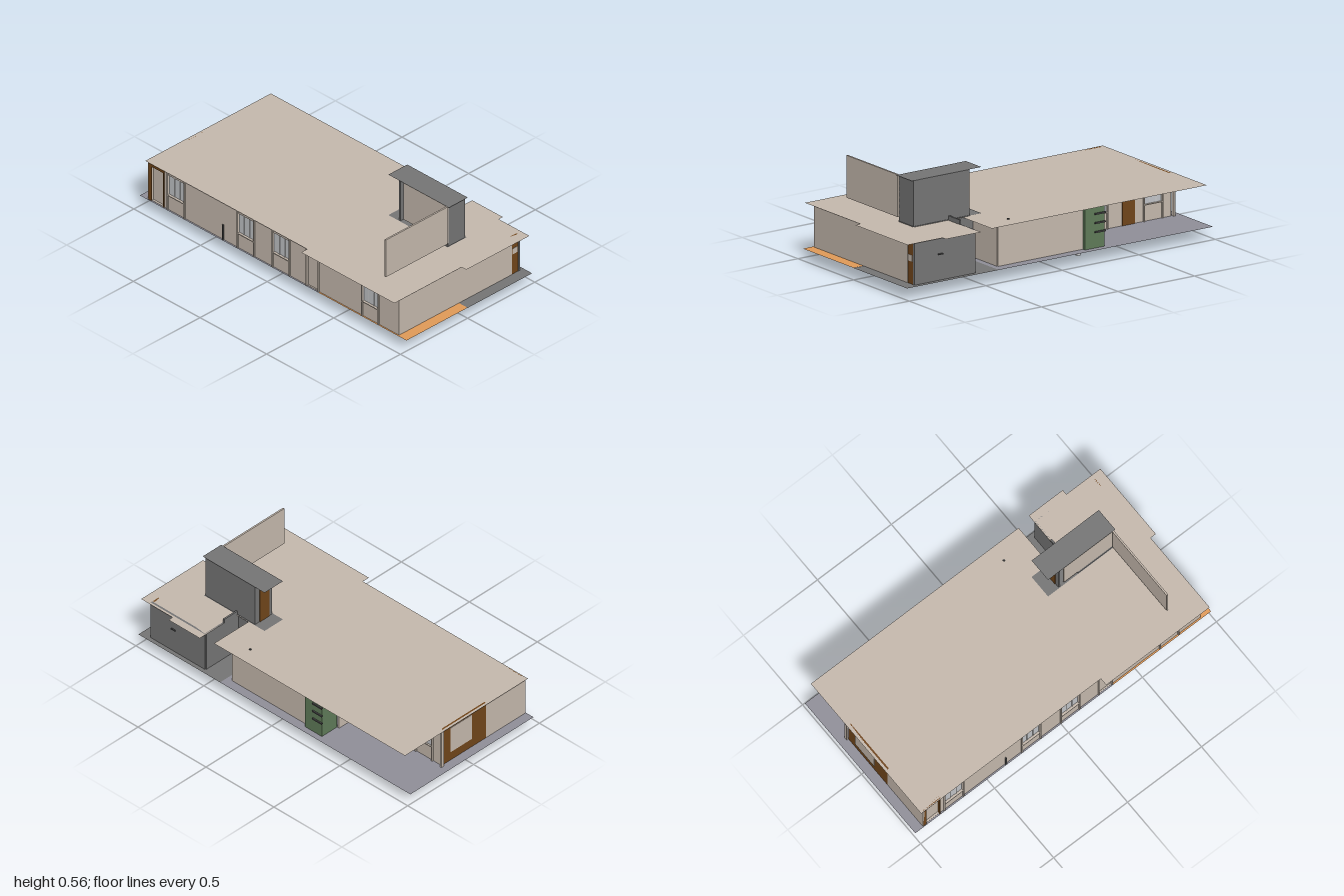
import * as THREE from 'three';

const Y0 = 0.066, Y1 = 0.3; // floor level, eaves level
const mat = (color) => new THREE.MeshStandardMaterial({ color, flatShading: true, side: THREE.DoubleSide });
const M = {
  beige: mat(0xc4b8ac), grey: mat(0x747474), dark: mat(0x4a4a4a), brown: mat(0x70451a), orange: mat(0xe09a58),
  floor: mat(0x8f8e98), glass: mat(0xc0c2c6), green: mat(0x5f7a58), blue: mat(0x3a3aa0), black: mat(0x161616), light: mat(0xcccccc),
};

export function createModel() {
  const model = new THREE.Group();

  const add = (name, geo, material) => {
    const mesh = new THREE.Mesh(geo, material);
    mesh.name = name;
    model.add(mesh);
    return mesh;
  };
  // Box given by its limits on each axis
  const box = (name, m, x0, x1, y0, y1, z0, z1) => {
    const mesh = add(name, new THREE.BoxGeometry(x1 - x0, y1 - y0, z1 - z0), m);
    mesh.position.set((x0 + x1) / 2, (y0 + y1) / 2, (z0 + z1) / 2);
    return mesh;
  };
  // Flat sheet from a plan outline of [x, z] points
  const sheet = (name, m, y, pts) => {
    const shape = new THREE.Shape(pts.map(([x, z]) => new THREE.Vector2(x, -z)));
    const mesh = add(name, new THREE.ShapeGeometry(shape).rotateX(-Math.PI / 2), m);
    mesh.position.y = y;
    return mesh;
  };
  const rect = (x0, x1, z0, z1) => [[x0, z1], [x1, z1], [x1, z0], [x0, z0]];
  // Wall along x with rectangular openings [x0, x1, y0, y1]
  const wallX = (name, m, x0, x1, z, openings = [], t = 0.012) => {
    const path = (P, a, b, c, d) => {
      const p = new P();
      p.moveTo(a, c); p.lineTo(b, c); p.lineTo(b, d); p.lineTo(a, d); p.closePath();
      return p;
    };
    const shape = path(THREE.Shape, x0, x1, Y0, Y1);
    openings.forEach(([a, b, c, d]) => shape.holes.push(path(THREE.Path, a, b, c, d)));
    const mesh = add(name, new THREE.ExtrudeGeometry(shape, { depth: t, bevelEnabled: false }), m);
    mesh.position.z = z - t / 2;
  };
  const wallZ = (name, m, x, z0, z1, y0 = Y0, y1 = Y1) => box(name, m, x - 0.005, x + 0.005, y0, y1, z0, z1);

  // Floors
  sheet('floor', M.floor, Y0 - 0.001, [
    [-1, 0.455], [0.34, 0.455], [0.34, -0.02], [0.4, -0.02], [0.4, -0.48], [-1, -0.48]]);
  sheet('rearFloor', M.grey, Y0 - 0.001, rect(0.4, 1, -0.48, 0));
  sheet('terraceFloor', M.orange, Y0, rect(0.34, 1, 0, 0.455));

  // Roof with front and rear projections and a slot over the stair
  sheet('roof', M.beige, Y1, [
    [-0.96, 0.455], [0.255, 0.455], [0.255, 0.5], [0.955, 0.5], [0.955, 0], [0.99, 0], [0.99, -0.47],
    [0.76, -0.47], [0.76, -0.5], [0.53, -0.5], [0.53, -0.22], [0.445, -0.22], [0.445, -0.48], [-0.96, -0.48]]);
  box('roofVent', M.dark, 0.265, 0.275, Y1, Y1 + 0.005, -0.39, -0.38);

  // Front wall with windows and doors
  const windows = [[-0.8, -0.67], [-0.275, -0.15], [-0.01, 0.115], [0.66, 0.785]];
  wallX('frontWall', M.beige, -0.94, 0.935, 0.44, [
    ...windows.map(([a, b]) => [a, b, 0.16, 0.28]), [-0.92, -0.825, Y0 + 0.002, 0.28], [0.245, 0.335, Y0 + 0.002, 0.28]]);
  const windowUnit = (a, b, z, out) => {
    const c = (a + b) / 2;
    box('windowPane', M.glass, a, b, 0.16, 0.28, z - 0.002, z + 0.002);
    [a + 0.003, c - 0.02, c + 0.02, b - 0.003].forEach((x) =>
      box('windowMullion', M.light, x - 0.002, x + 0.002, 0.16, 0.28, z - 0.005, z + 0.005));
    [a, b].forEach((x) => box('windowPost', M.beige, x - 0.004, x + 0.004, Y0, Y1, z, z + out));
    box('windowSill', M.beige, a, b, 0.155, 0.16, z, z + out);
  };
  windows.forEach(([a, b]) => windowUnit(a, b, 0.437, 0.016));
  box('frontDoor', M.beige, -0.92, -0.825, Y0, 0.28, 0.43, 0.434);
  box('frontDoorHead', M.brown, -0.94, -0.825, 0.28, Y1, 0.436, 0.45);
  box('frontDoorJamb', M.brown, -0.94, -0.92, Y0, 0.28, 0.436, 0.45);
  box('frontDoorJamb', M.brown, -0.832, -0.825, Y0, 0.28, 0.436, 0.45);
  box('sideDoor', M.beige, 0.245, 0.335, Y0, 0.28, 0.434, 0.438);
  [0.245, 0.335].forEach((x) => box('doorPost', M.beige, x - 0.004, x + 0.004, Y0, Y1, 0.44, 0.452));
  box('downpipe', M.dark, -0.388, -0.38, Y0, 0.16, 0.445, 0.453);

  // End walls
  wallZ('leftWall', M.beige, 0.93, -0.395, 0.44);
  wallZ('leftDoor', M.brown, 0.928, -0.44, -0.395);
  wallZ('leftDoorPanel', M.beige, 0.93, -0.435, -0.4, 0.19, 0.225);
  wallZ('rightWall', M.beige, -0.94, 0.15, 0.45);
  wallZ('rightWallTimber', M.brown, -0.94, -0.18, 0.15);
  wallZ('rightWallPanel', M.beige, -0.943, -0.12, 0.04, 0.12, 0.28);
  wallZ('cornerPost', M.beige, -0.952, -0.2, -0.18);

  // Rear store, stair recess and rear wall
  wallX('storeWall', M.grey, 0.535, 0.935, -0.45);
  wallZ('storeSideWall', M.grey, 0.535, -0.45, -0.2);
  box('storeHandle', M.dark, 0.75, 0.78, 0.207, 0.213, -0.463, -0.456);
  wallX('stairBackWall', M.grey, 0.365, 0.535, -0.2);
  wallZ('stairSideWall', M.beige, 0.365, -0.42, -0.2);
  wallX('rearWall', M.beige, -0.19, 0.365, -0.42);

  // Green bay with shelves
  box('greenBay', M.green, -0.315, -0.19, Y0, Y1 - 0.002, -0.445, -0.33);
  [0.15, 0.2, 0.25].forEach((y) => box('bayShelf', M.dark, -0.32, -0.25, y, y + 0.008, -0.453, -0.443));
  wallZ('baySideWall', M.beige, -0.325, -0.33, -0.18);

  // Recessed porch wall
  const porch = [[-0.52, -0.42], [-0.88, -0.76]];
  wallX('porchWall', M.beige, -0.94, -0.325, -0.18, porch.map(([a, b]) => [a, b, 0.16, 0.28]));
  porch.forEach(([a, b]) => windowUnit(a, b, -0.183, -0.012));
  box('porchDoor', M.brown, -0.7, -0.62, Y0, 0.28, -0.19, -0.186);

  // Rooftop stair house
  sheet('stairHouseRoof', M.grey, 0.558, rect(0.325, 0.78, -0.22, -0.08));
  sheet('stairHouseFloor', M.grey, 0.304, rect(0.325, 0.77, -0.22, -0.08));
  box('stairHouseFront', M.beige, 0.435, 0.765, 0.325, 0.556, -0.09, -0.084);
  box('stairHouseBase', M.grey, 0.53, 0.76, Y1, 0.325, -0.092, -0.084);
  box('stairHouseBack', M.grey, 0.4, 0.765, Y1, 0.556, -0.215, -0.205);
  wallZ('stairHouseLeft', M.grey, 0.76, -0.213, -0.086, Y1, 0.556);
  wallZ('stairHouseRight', M.grey, 0.405, -0.213, -0.086, Y1, 0.556);
  wallZ('stairHouseDoor', M.brown, 0.401, -0.18, -0.11, 0.305, 0.52);
  wallZ('stairUpstand', M.grey, 0.533, -0.315, -0.2, Y1, 0.325);
  wallZ('roofScreen', M.beige, 0.765, -0.08, 0.38, 0.325, 0.558);

  // Support post and small items below the floor
  box('supportPost', M.light, -0.245, -0.225, 0, Y0, -0.325, -0.305);
  sheet('mat', M.brown, 0.062, rect(0.22, 0.33, -0.2, -0.08));
  sheet('blueMat', M.blue, 0.063, rect(-0.18, 0.02, 0.08, 0.15));
  sheet('drainCover', M.black, 0.063, rect(-0.5, -0.36, 0.35, 0.41));
  sheet('drainCover', M.black, 0.063, rect(-0.73, -0.67, 0.35, 0.39));
  for (let i = 0; i < 4; i++) {
    sheet('floorGrille', M.black, 0.063, rect(0.56 + i * 0.04, 0.585 + i * 0.04, -0.03, 0.06));
  }
  return model;
}
